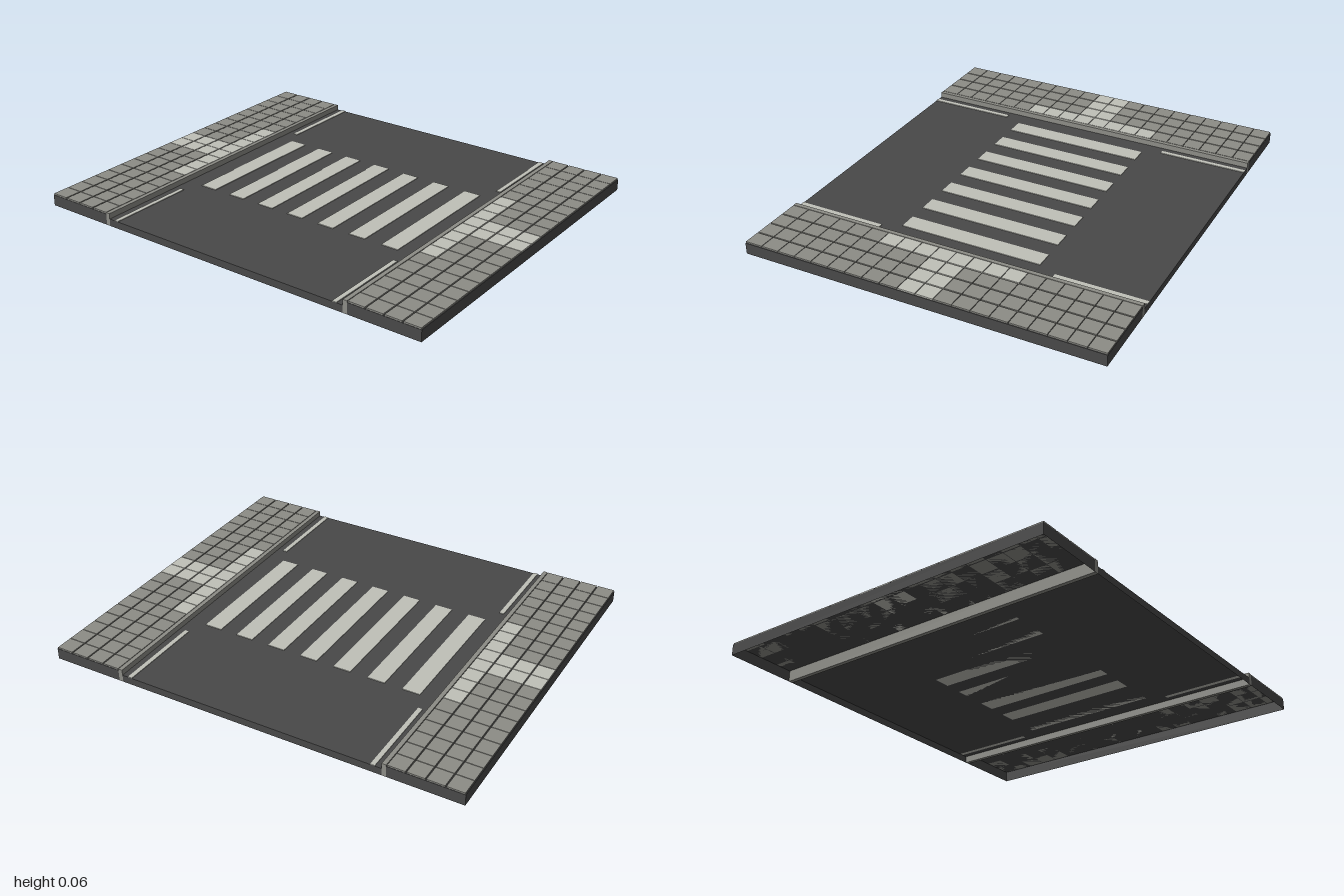
import * as THREE from 'three';
import { mergeGeometries } from 'three/addons/utils/BufferGeometryUtils.js';

const W = 1.69, HALF = W / 2;              // width across x
const ROAD_Y = 0.034, BASE_Y = 0.053, TOP_Y = 0.06;
const CURB_IN = 0.638, CURB_OUT = 0.658;   // curb edges in z

function material(name, color, side = THREE.FrontSide) {
  const m = new THREE.MeshStandardMaterial({ color, side });
  m.name = name;
  return m;
}

export function createModel() {
  const model = new THREE.Group();
  model.name = 'pedestrianCrossing';
  const asphalt = material('asphalt', 0x484848, THREE.DoubleSide);
  const concrete = material('paving concrete', 0x8c8c86);
  const white = material('pale paint', 0xbfc0b8);

  const add = (name, geometry, mat) => {
    const mesh = new THREE.Mesh(geometry, mat);
    mesh.name = name;
    model.add(mesh);
  };
  // box given by its limits on each axis
  const block = (x0, x1, y0, y1, z0, z1) =>
    new THREE.BoxGeometry(x1 - x0, y1 - y0, z1 - z0)
      .translate((x0 + x1) / 2, (y0 + y1) / 2, (z0 + z1) / 2);
  // open sheets of the hollow shell
  const deck = (y, z0, z1) => new THREE.PlaneGeometry(W, z1 - z0)
    .rotateX(-Math.PI / 2).translate(0, y, (z0 + z1) / 2);
  const sideWall = (s, h, z0, z1) => new THREE.PlaneGeometry(z1 - z0, h)
    .rotateY(s * Math.PI / 2).translate(s * HALF, h / 2, (z0 + z1) / 2);

  // road shell, open underneath
  add('road', mergeGeometries([
    deck(ROAD_Y, -CURB_IN, CURB_IN),
    sideWall(1, ROAD_Y, -CURB_IN, CURB_IN),
    sideWall(-1, ROAD_Y, -CURB_IN, CURB_IN),
  ]), asphalt);

  // crossing stripes
  for (let i = -3; i <= 3; i++) {
    const z = i * 0.17;
    add('crossingStripe', block(-0.338, 0.338, ROAD_Y, ROAD_Y + 0.003, z - 0.042, z + 0.042), white);
  }

  for (const s of [-1, 1]) {
    const span = (a, b) => (s > 0 ? [a, b] : [-b, -a]);

    // edge lines beside the crossing
    for (const [x0, x1] of [[-HALF, -0.424], [0.424, HALF]]) {
      add('edgeLine', block(x0, x1, ROAD_Y, ROAD_Y + 0.003, ...span(0.587, 0.608)), white);
    }

    // curb
    add('curb', block(-HALF, HALF, 0, TOP_Y, ...span(CURB_IN, CURB_OUT)), concrete);

    // pavement shell, open underneath
    const end = new THREE.PlaneGeometry(W, BASE_Y);
    if (s < 0) end.rotateY(Math.PI);
    end.translate(0, BASE_Y / 2, s);
    add('pavementBase', mergeGeometries([
      deck(BASE_Y, ...span(CURB_OUT, 1)),
      sideWall(1, BASE_Y, ...span(CURB_OUT, 1)),
      sideWall(-1, BASE_Y, ...span(CURB_OUT, 1)),
      end,
    ]), asphalt);

    // paving tiles: a pale row by the curb and a pale path to the outer edge
    const plain = [], pale = [];
    const cols = 20, rows = 4, tw = W / cols, td = (1 - CURB_OUT) / rows;
    for (let r = 0; r < rows; r++) {
      for (let c = 0; c < cols; c++) {
        const x = -HALF + c * tw, z = CURB_OUT + r * td;
        const reach = r === 0 ? 4 : 1;
        const isPale = c >= cols / 2 - reach && c < cols / 2 + reach;
        (isPale ? pale : plain).push(
          block(x + 0.0015, x + tw - 0.0015, BASE_Y, TOP_Y, ...span(z + 0.003, z + td - 0.003)));
      }
    }
    add('pavingTiles', mergeGeometries(plain), concrete);
    add('palePavingTiles', mergeGeometries(pale), white);
  }
  return model;
}
